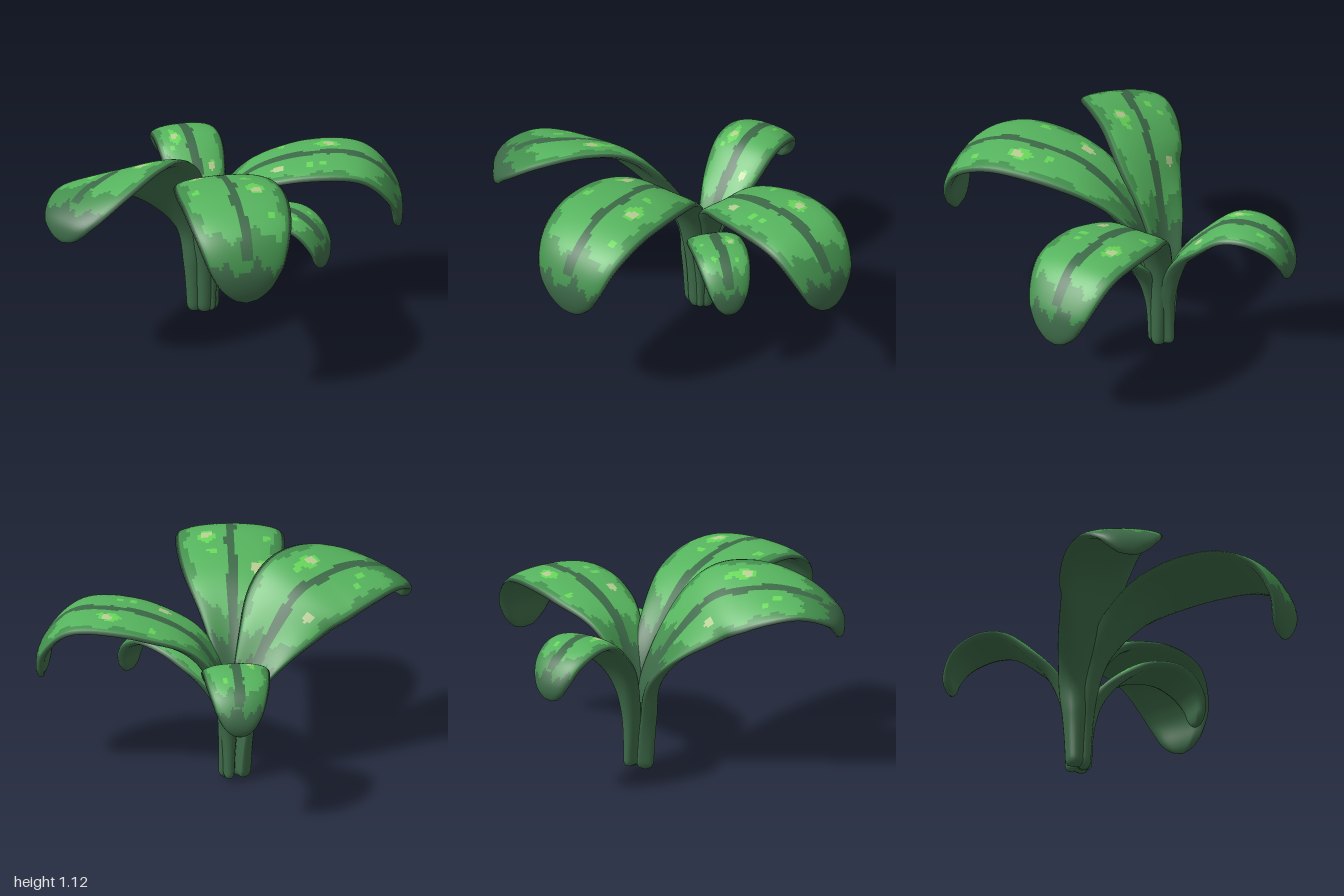
import * as THREE from 'three';

const DARK = 0, MARGIN = 1, BLADE = 2, BRIGHT = 3, PALE = 4;
const ALONG = 110, TOP = 30, UNDER = 10, RING = TOP + UNDER;

// Half width from base to tip, as a share of the widest point
const WIDTH = new THREE.SplineCurve(
  [0.17, 0.2, 0.27, 0.38, 0.6, 0.85, 0.98, 1, 0.92, 0.72, 0.38].map((w, i) => new THREE.Vector2(i / 10, w)));

const mat = (name, color) => {
  const m = new THREE.MeshStandardMaterial({ color });
  m.name = name;
  return m;
};

const hash = n => {
  const s = Math.sin(n * 12.9898) * 43758.5453;
  return s - Math.floor(s);
};

const inSpot = (u, v, a, b, ra, rb) => ((u - a) / ra) ** 2 + ((v - b) / rb) ** 2 < 1;

// Colour of the upper face: dark stem, rib and tip, ragged margin, spots
function paint(seed, u, v, halfWidth) {
  const wobble = Math.sin(u * 37 + seed * 2 + Math.sign(v) * 1.3) * 0.6 + Math.sin(u * 83 + seed * 5) * 0.4;
  const ragged = Math.sin(v * 7 + seed * 3) * 0.015 + Math.sin(v * 17 + seed) * 0.01;
  if (u < 0.34 + ragged || u > 0.9 + ragged || Math.abs(v) > 0.96) return DARK;
  if (Math.abs(v) * halfWidth < 0.027 + wobble * 0.005 && u < 0.88) return DARK;
  if (u < 0.42 + ragged || u > 0.825 + ragged) return MARGIN;
  if (Math.abs(v) > 0.8 + wobble * 0.1) return MARGIN;
  if (inSpot(u, v, 0.53, -0.5, 0.018, 0.1) || inSpot(u, v, 0.67, 0.44, 0.014, 0.1)) return PALE;
  if (inSpot(u, v, 0.66, 0.43, 0.03, 0.15)) return BRIGHT;
  for (let k = 0; k < 4; k++) {
    const a = 0.5 + 0.28 * hash(seed * 7 + k), b = (k % 2 ? 1 : -1) * (0.3 + 0.35 * hash(seed * 11 + k));
    if (inSpot(u, v, a, b, 0.012, 0.08)) return BRIGHT;
  }
  return BLADE;
}

// Solid leaf swept along its midrib, channelled at the stem and flat at the blade.
// The midrib is given as [distance from the base, height] along the heading.
function leafGeometry({ base: [x, z], heading, width, roll, midrib }, seed) {
  const hx = Math.sin(heading), hz = Math.cos(heading);
  const spine = new THREE.CatmullRomCurve3(
    midrib.map(([r, y]) => new THREE.Vector3(x + r * hx, y, z + r * hz)), false, 'catmullrom');
  const positions = [];

  for (let i = 0; i <= ALONG; i++) {
    const u = i / ALONG;
    const centre = spine.getPointAt(u), tangent = spine.getTangentAt(u);
    const side = new THREE.Vector3(hz, 0, -hx).applyAxisAngle(tangent, roll * Math.sin(Math.PI * u) ** 2);
    const normal = new THREE.Vector3().crossVectors(tangent, side);
    // Rounded ends
    const end = Math.max(0, (u - 0.95) / 0.05, (0.025 - u) / 0.025);
    const round = Math.sqrt(Math.max(0, 1 - end * end));
    const blend = THREE.MathUtils.smoothstep(u, 0.18, 0.55);
    const thick = THREE.MathUtils.lerp(0.04, 0.027, blend) * round;
    const cup = THREE.MathUtils.lerp(0.5, -0.09, blend);
    const w = width * WIDTH.getPoint(u).y * round;
    for (let j = 0; j < RING; j++) {
      const v = j < TOP ? 1 - (2 * j) / TOP : -1 + (2 * (j - TOP)) / UNDER;
      const h = Math.sqrt(Math.max(0, 1 - v ** 4)) * thick * (j < TOP ? 1 : -1);
      const p = centre.clone().addScaledVector(side, w * v).addScaledVector(normal, h + cup * w * v * v);
      positions.push(p.x, p.y, p.z);
    }
  }

  // Sort the faces by colour; the underside is all dark
  const faces = [[], [], [], [], []];
  for (let i = 0; i < ALONG; i++) {
    const u = (i + 0.5) / ALONG, halfWidth = width * WIDTH.getPoint(u).y;
    for (let j = 0; j < RING; j++) {
      const a = i * RING + j, b = i * RING + ((j + 1) % RING), c = a + RING, d = b + RING;
      const colour = j < TOP ? paint(seed, u, 1 - (2 * j + 1) / TOP, halfWidth) : DARK;
      faces[colour].push(a, b, c, b, d, c);
    }
  }
  const geometry = new THREE.BufferGeometry();
  geometry.setAttribute('position', new THREE.Float32BufferAttribute(positions, 3));
  geometry.setIndex(faces.flat());
  let start = 0;
  faces.forEach((f, m) => {
    geometry.addGroup(start, f.length, m);
    start += f.length;
  });
  geometry.computeVertexNormals();
  return geometry;
}

export function createModel() {
  const materials = [
    mat('darkGreen', 0x3d6a48),
    mat('marginGreen', 0x43904d),
    mat('leafGreen', 0x56b45e),
    mat('brightGreen', 0x67d85a),
    mat('paleGreen', 0xb9cf93),
  ];
  const plant = new THREE.Group();
  plant.name = 'plant';
  const addLeaf = (name, leaf) => {
    const mesh = new THREE.Mesh(leafGeometry(leaf, plant.children.length + 1), materials);
    mesh.name = name;
    plant.add(mesh);
  };

  addLeaf('frontLeaf', {
    base: [-0.08, -0.2], heading: 0.115, width: 0.29, roll: 0,
    midrib: [[0, 0.01], [0.03, 0.4], [0.13, 0.7], [0.4, 0.98], [0.78, 1.06], [1.04, 0.98], [1.15, 0.8], [1.13, 0.6]],
  });
  addLeaf('frontRightLeaf', {
    base: [-0.13, -0.22], heading: -0.826, width: 0.28, roll: 0.6,
    midrib: [[0, 0.01], [0.02, 0.3], [0.06, 0.55], [0.31, 0.92], [0.54, 1.02], [0.82, 1.01], [1.01, 0.91], [1.05, 0.79]],
  });
  addLeaf('leftLeaf', {
    base: [-0.04, -0.23], heading: 1.471, width: 0.26, roll: 0,
    midrib: [[0, 0.01], [0.01, 0.4], [0.09, 0.65], [0.24, 0.82], [0.5, 0.91], [0.8, 0.9], [0.97, 0.73], [1, 0.52]],
  });
  addLeaf('backLeaf', {
    base: [-0.06, -0.27], heading: -2.964, width: 0.18, roll: 0,
    midrib: [[0, 0.02], [0.01, 0.33], [0.1, 0.58], [0.3, 0.79], [0.46, 0.83], [0.61, 0.77], [0.68, 0.66], [0.68, 0.56]],
  });
  addLeaf('smallFrontLeftLeaf', {
    base: [-0.06, -0.2], heading: 0.991, width: 0.15, roll: 0,
    midrib: [[0, 0.02], [0.02, 0.28], [0.1, 0.48], [0.28, 0.65], [0.47, 0.7], [0.6, 0.66], [0.68, 0.56], [0.69, 0.43]],
  });
  return plant;
}
